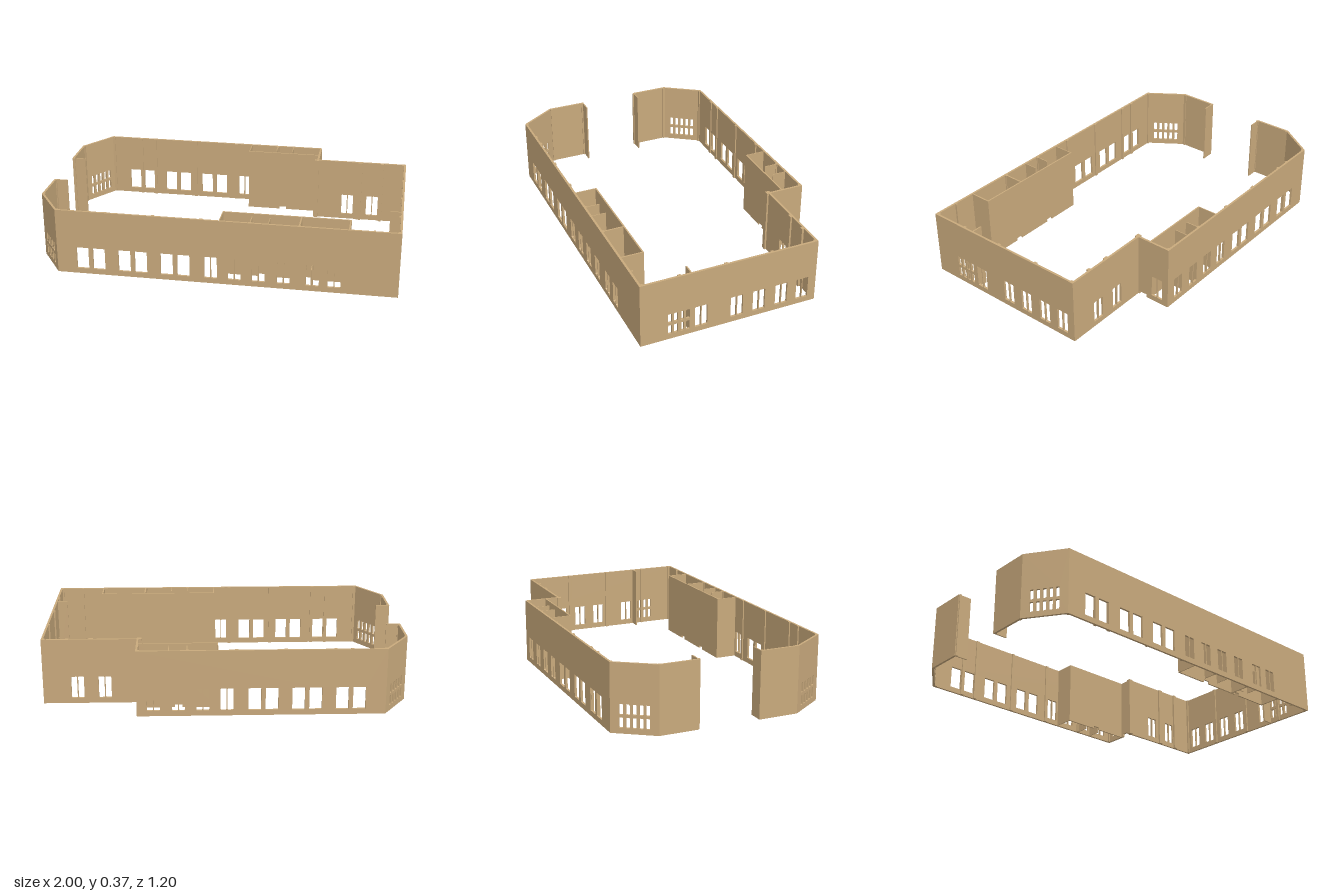
import * as THREE from 'three';

const H = 0.37;      // wall height
const T = 0.012;     // outer wall thickness
const SILL = 0.03, HEAD = 0.155;

const material = new THREE.MeshStandardMaterial({ color: 0xc8a97c });

// Rectangular opening with slightly eased corners
function opening(x0, x1, y0, y1, r = 0.003) {
  const p = new THREE.Path();
  p.moveTo(x0 + r, y0);
  p.lineTo(x1 - r, y0); p.lineTo(x1, y0 + r);
  p.lineTo(x1, y1 - r); p.lineTo(x1 - r, y1);
  p.lineTo(x0 + r, y1); p.lineTo(x0, y1 - r);
  p.lineTo(x0, y0 + r); p.lineTo(x0 + r, y0);
  return p;
}

// Window groups, measured along a wall from its start
const narrowPair = (u) => [[u, u + 0.0325], [u + 0.0375, u + 0.07]].map(([a, b]) => opening(a, b, SILL, HEAD));
const widePair = (u) => [[u, u + 0.068], [u + 0.092, u + 0.16]].map(([a, b]) => opening(a, b, SILL, HEAD, 0.001));
function paneGrid(u, columns, pitch) {
  const panes = [];
  for (let i = 0; i < columns; i++) {
    const a = u + i * pitch;
    panes.push(opening(a, a + 0.02, SILL, 0.085), opening(a, a + 0.02, 0.1, HEAD));
  }
  return panes;
}

// Upright wall from a to b, thickened towards the inside; notches are low gaps at the floor
function wall(name, [ax, az], [bx, bz], { holes = [], notches = [], t = T, h = H } = {}) {
  const length = Math.hypot(bx - ax, bz - az);
  const shape = new THREE.Shape();
  shape.moveTo(0, 0);
  for (const [u0, u1, top] of notches) {
    shape.lineTo(u0, 0); shape.lineTo(u0, top);
    shape.lineTo(u1, top); shape.lineTo(u1, 0);
  }
  shape.lineTo(length, 0); shape.lineTo(length, h); shape.lineTo(0, h);
  shape.closePath();
  shape.holes.push(...holes);
  const mesh = new THREE.Mesh(new THREE.ExtrudeGeometry(shape, { depth: t, bevelEnabled: false }), material);
  mesh.name = name;
  mesh.position.set(ax, 0, az);
  mesh.rotation.y = Math.atan2(az - bz, bx - ax);
  return mesh;
}

// Upright block covering a plan rectangle
function block(name, x0, x1, z0, z1, h = H) {
  const mesh = new THREE.Mesh(new THREE.BoxGeometry(x1 - x0, h, z1 - z0), material);
  mesh.name = name;
  mesh.position.set((x0 + x1) / 2, h / 2, (z0 + z1) / 2);
  return mesh;
}

export function createModel() {
  const model = new THREE.Group();
  model.name = 'buildingShell';

  // Window positions along x shared by the two long walls
  const wideX = [-0.75, -0.515, -0.28];
  const narrowX = [-0.04, 0.09, 0.22, 0.355];

  // Outer walls
  const outer = new THREE.Group();
  outer.name = 'outerWalls';
  outer.add(
    wall('backWall', [-0.86, -0.6], [0.48, -0.6], {
      holes: [...wideX.flatMap((x) => widePair(x + 0.86)), ...narrowX.flatMap((x) => narrowPair(x + 0.86))],
    }),
    wall('stepWall', [0.48, -0.6], [0.48, -0.4], {
      holes: narrowPair(0.038), notches: [[0.145, 0.193, 0.018]],
    }),
    wall('recessedBackWall', [0.468, -0.4], [1, -0.4], {
      holes: [0.625, 0.775].flatMap((x) => narrowPair(x - 0.468)),
    }),
    wall('leftWall', [1, -0.4], [1, 0.6], {
      holes: [...[-0.355, -0.231, -0.1, 0.028, 0.23].flatMap((z) => narrowPair(z + 0.4)), ...paneGrid(0.729, 4, 0.033)],
    }),
    wall('frontWall', [1, 0.6], [-0.86, 0.6], {
      holes: [
        ...wideX.flatMap((x) => widePair(1 - x - 0.16)),
        ...[...narrowX, 0.51, 0.625].flatMap((x) => narrowPair(1 - x - 0.07)),
      ],
    }),
    wall('frontAngledWall', [-0.86, 0.6], [-1, 0.395], { holes: paneGrid(0.046, 5, 0.034) }),
    wall('frontEntranceWall', [-1, 0.395], [-1, 0.17]),
    wall('backEntranceWall', [-1, -0.18], [-1, -0.395]),
    wall('backAngledWall', [-1, -0.395], [-0.86, -0.6], { holes: paneGrid(0.046, 5, 0.034) }),
  );
  model.add(outer);

  // Open leaves beside the wide entrance and the side door
  model.add(
    block('frontEntranceLeaf', -1, -0.92, 0.17, 0.177),
    block('backEntranceLeaf', -1, -0.92, -0.183, -0.176),
    block('sideLeaf', 0.93, 0.99, 0.315, 0.322),
  );

  // Inner rooms along the back and front walls
  const rooms = new THREE.Group();
  rooms.name = 'innerRooms';
  rooms.add(
    wall('backRoomPartition', [0.04, -0.478], [0.475, -0.478], { t: 0.008, notches: [[0.195, 0.237, 0.015]] }),
    wall('frontRoomPartition', [0.04, 0.465], [0.732, 0.465], {
      t: 0.008, notches: [[0.195, 0.237, 0.015], [0.452, 0.49, 0.015]],
    }),
    block('frontRoomEndWall', 0.725, 0.733, 0.465, 0.595),
    block('frontRoomCrossWall', 0.464, 0.472, 0.465, 0.595),
    block('stallDivider', 0.535, 0.54, 0.53, 0.595, 0.12),
    block('stallScreen', 0.472, 0.505, 0.527, 0.531, 0.12),
  );
  for (const side of [-1, 1]) {
    const span = (a, b) => (side > 0 ? [a, b] : [-b, -a]);
    rooms.add(
      block('roomEndWall', 0.04, 0.045, ...span(0.47, 0.595)),
      block('roomDivider', 0.204, 0.209, ...span(0.51, 0.595)),
      block('roomDivider', 0.302, 0.306, ...span(0.51, 0.595)),
    );
  }
  model.add(rooms);

  // Pilasters on the inside faces
  const pilasters = new THREE.Group();
  pilasters.name = 'pilasters';
  for (const x of [-0.853, -0.672, -0.582, -0.318, -0.057, 0.204, 0.467]) {
    pilasters.add(
      block('pilaster', x - 0.009, x + 0.009, -0.595, -0.581),
      block('pilaster', x - 0.009, x + 0.009, 0.581, 0.595),
    );
  }
  for (const z of [-0.385, -0.135, 0.125, 0.382, 0.585]) {
    pilasters.add(block('pilaster', 0.98, 0.995, z - 0.009, z + 0.009));
  }
  for (const z of [-0.39, -0.178, 0.178, 0.385]) {
    pilasters.add(block('pilaster', -0.995, -0.983, z - 0.008, z + 0.008));
  }
  pilasters.add(
    block('cornerPilaster', 0.455, 0.481, -0.402, -0.378),
    block('recessPilaster', 0.717, 0.743, -0.395, -0.378),
    block('recessPilaster', 0.85, 0.87, -0.395, -0.376),
    block('smallPilaster', 0.855, 0.865, 0.577, 0.595),
  );
  model.add(pilasters);

  return model;
}
